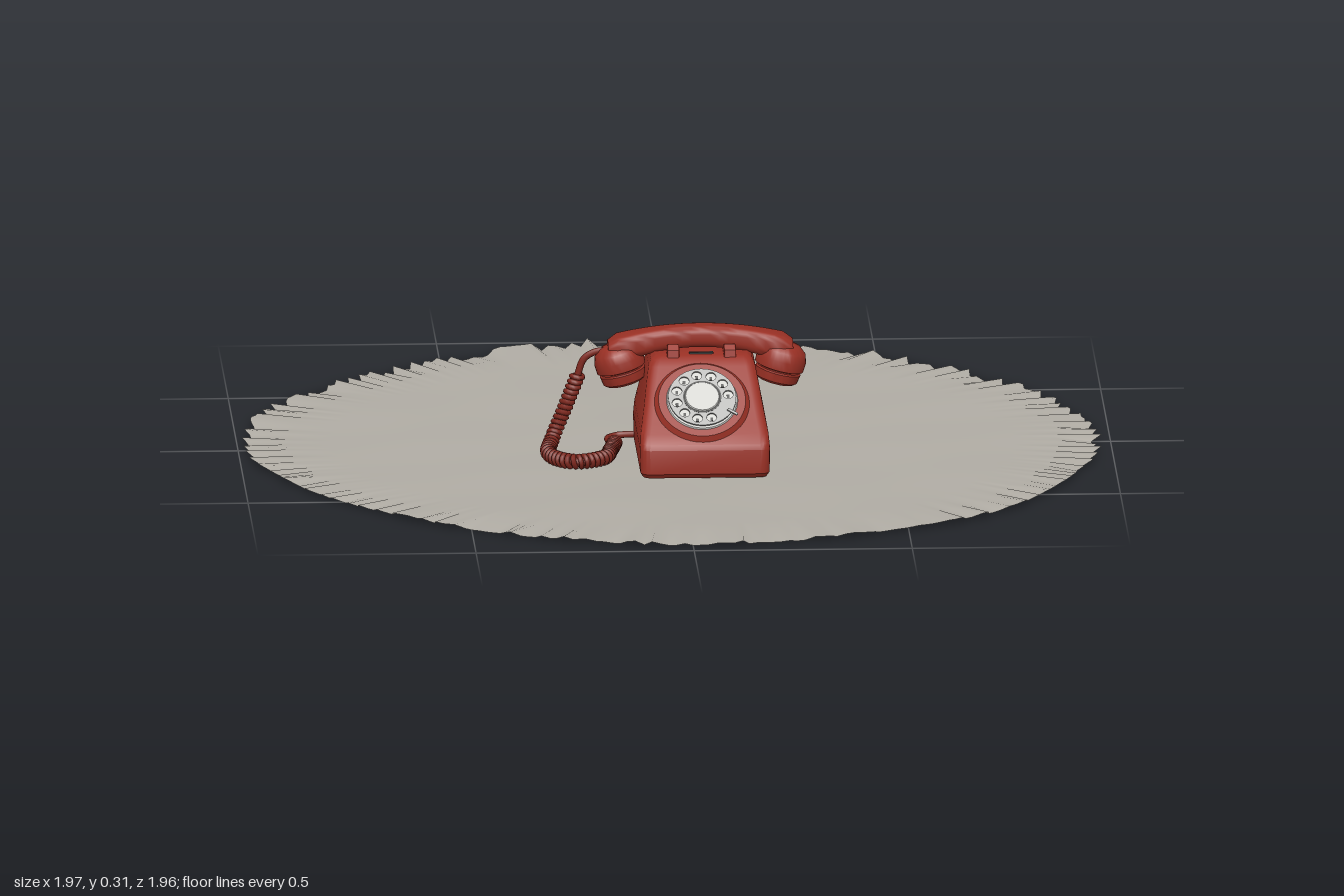
import * as THREE from 'three';
import { toCreasedNormals } from 'three/addons/utils/BufferGeometryUtils.js';

const mat = (name, color, side = THREE.FrontSide) => {
  const m = new THREE.MeshStandardMaterial({ color, side });
  m.name = name;
  return m;
};

// Rounded rectangle as [u, v] pairs
function section(hu, hv, r, n = 4) {
  const pts = [];
  [[1, 1], [-1, 1], [-1, -1], [1, -1]].forEach(([su, sv], k) => {
    for (let i = 0; i <= n; i++) {
      const a = (k + i / n) * Math.PI / 2;
      pts.push([su * (hu - r) + r * Math.cos(a), sv * (hv - r) + r * Math.sin(a)]);
    }
  });
  return pts;
}

// Closed skin through a stack of equal-sized rings
function loft(rings, crease) {
  const n = rings[0].length, pos = [], idx = [];
  rings.forEach(r => r.forEach(p => pos.push(...p)));
  for (let i = 0; i < rings.length - 1; i++) for (let j = 0; j < n; j++) {
    const a = i * n + j, b = i * n + (j + 1) % n;
    idx.push(a, a + n, b, b, a + n, b + n);
  }
  [0, rings.length - 1].forEach((k, end) => {
    const c = pos.length / 3;
    for (let q = 0; q < 3; q++) pos.push(rings[k].reduce((s, p) => s + p[q], 0) / n);
    for (let j = 0; j < n; j++) {
      const a = k * n + j, b = k * n + (j + 1) % n;
      idx.push(...(end ? [c, b, a] : [c, a, b]));
    }
  });
  const g = new THREE.BufferGeometry();
  g.setAttribute('position', new THREE.Float32BufferAttribute(pos, 3));
  g.setIndex(idx);
  g.computeVertexNormals();
  return toCreasedNormals(g, crease);
}

const curve = pts => new THREE.CatmullRomCurve3(pts.map(p => new THREE.Vector3(...p)));

export function createModel() {
  const root = new THREE.Group();
  const red = mat('red plastic', 0x993024);
  const darkRed = mat('dark red cord', 0x7d271d);
  const grey = mat('warm grey cloth', 0xb0aca4, THREE.DoubleSide);
  const silver = mat('silver', 0xb4b4b2);
  const pale = mat('pale grey', 0xcfcfcb);
  const dark = mat('dark grey', 0x454443);
  const add = (name, geo, m, parent = root) => {
    const mesh = new THREE.Mesh(geo, m);
    mesh.name = name;
    parent.add(mesh);
    return mesh;
  };
  const CX = 0.055; // centre line of the telephone

  // Ground sheet with a wavering, frayed rim
  const radii = [.97, .96, .98, .96, .96, .94, .93, .95, .98, .98, .95, .97, .985, .97, .95, .955];
  const N = 320;
  let seed = 7;
  const rand = () => (seed = (seed * 16807) % 2147483647) / 2147483647;
  const fray = Array.from({ length: N }, () => (rand() - 0.5) * 0.028);
  const sheet = new THREE.RingGeometry(0.004, 1, N, 10).rotateX(-Math.PI / 2);
  const sp = sheet.attributes.position;
  for (let i = 0; i < sp.count; i++) {
    const j = i % (N + 1) % N, a = j / N * Math.PI * 2;
    const rr = Math.hypot(sp.getX(i), sp.getZ(i));
    const f = (1 - j / N) * 16, k = Math.floor(f), e = (1 - Math.cos((f - k) * Math.PI)) / 2;
    const edge = radii[k % 16] * (1 - e) + radii[(k + 1) % 16] * e;
    const R = rr * edge + (rr > 0.99 ? fray[j] : 0);
    const x = Math.cos(a) * R, z = -Math.sin(a) * R;
    const wave = Math.sin(x * 9 + z * 5) * Math.sin(z * 13 - x * 4);
    const y = rr > 0.99 ? Math.max(0, 0.006 + fray[j] * 0.6) : 0.009 + 0.002 * wave;
    sp.setXYZ(i, x, y, z);
  }
  sheet.computeVertexNormals();
  add('groundSheet', sheet, grey);

  // Body: [y, half width, front z, back z, corner radius]
  const body = [
    [.012, .142, .354, -.026, .02], [.022, .148, .361, -.033, .022], [.078, .149, .362, -.033, .022],
    [.09, .148, .356, -.033, .022], [.11, .146, .335, -.03, .022], [.13, .142, .312, -.022, .022],
    [.16, .136, .279, -.005, .022], [.2, .129, .235, .01, .022], [.235, .122, .195, .018, .022],
    [.248, .116, .18, .023, .02], [.255, .106, .166, .032, .016],
  ].map(([y, hw, zf, zb, r]) =>
    section(hw, (zf - zb) / 2, r).map(([u, v]) => [CX + u, y, (zf + zb) / 2 + v]));
  add('body', loft(body, 0.5), red);

  // Cradle prongs, a saddle on each side of the top
  const saddle = new THREE.Shape([
    [.012, .2], [.016, .272], [.024, .281], [.04, .278], [.054, .256], [.126, .256],
    [.14, .272], [.156, .275], [.168, .266], [.18, .2],
  ].map(p => new THREE.Vector2(...p)));
  for (const s of [-1, 1]) {
    const g = new THREE.ExtrudeGeometry(saddle, {
      depth: 0.022, bevelEnabled: true, bevelSize: 0.003, bevelThickness: 0.003, bevelSegments: 2,
    });
    const m = add('cradleProng', g.translate(0, 0, -0.011).rotateY(-Math.PI / 2).scale(1, 1, 1), red);
    m.position.x = CX + s * 0.065;
  }
  add('cradleSlot', new THREE.BoxGeometry(0.055, 0.004, 0.012), dark).position.set(CX, 0.256, 0.148);

  // Handset: arched grip between two cups
  const handset = new THREE.Group();
  handset.name = 'handset';
  handset.position.set(CX, 0, 0.092);
  root.add(handset);
  const grip = [];
  for (let i = 0; i <= 20; i++) {
    const t = i / 10 - 1, q = t * t, end = Math.abs(t) === 1 ? 0.75 : 1;
    const hh = (0.025 + 0.008 * q) * end, hz = (0.031 + 0.013 * q) * end;
    grip.push(section(hz, hh, 0.018).map(([u, v]) => [0.212 * t, 0.285 - 0.038 * q + v, u]));
  }
  add('grip', loft(grip, 0.9), red, handset);
  const cup = [[0, 0], [.042, 0], [.05, .006], [.053, .026], [.049, .029], [.049, .032], [.057, .035],
    [.058, .056], [.052, .076], [.036, .09], [0, .096]].map(p => new THREE.Vector2(...p));
  for (const s of [-1, 1]) {
    const m = add(s < 0 ? 'earCup' : 'mouthCup',
      toCreasedNormals(new THREE.LatheGeometry(cup, 36), 0.6), red, handset);
    m.position.set(s * 0.172, 0.176, 0);
    m.rotation.z = -s * 0.26;
  }

  // Rotary dial on the sloping face
  const dial = new THREE.Group();
  dial.name = 'dial';
  dial.position.set(CX - 0.004, 0.169, 0.27);
  dial.rotation.x = 0.731;
  root.add(dial);
  const disc = (name, r1, r2, y, h, m) =>
    add(name, new THREE.CylinderGeometry(r1, r2, h, 48).translate(0, y + h / 2, 0), m, dial);
  disc('dialSurround', 0.1, 0.112, -0.004, 0.014, red);
  disc('numberPlate', 0.08, 0.083, 0.008, 0.006, pale);
  const wheel = new THREE.Shape().absarc(0, 0, 0.078, 0, Math.PI * 2);
  for (let i = 0; i < 10; i++) {
    const a = 0.1 + i * 0.55, x = Math.cos(a) * 0.06, y = Math.sin(a) * 0.06;
    wheel.holes.push(new THREE.Path().absarc(x, y, 0.0115, 0, Math.PI * 2, true));
    const n = add('numberMark', new THREE.BoxGeometry(0.006, 0.001, 0.009), dark, dial);
    n.position.set(x, 0.0145, -y);
  }
  const wheelGeo = new THREE.ExtrudeGeometry(wheel, { depth: 0.004, bevelEnabled: false, curveSegments: 20 });
  add('fingerWheel', wheelGeo.rotateX(-Math.PI / 2).translate(0, 0.019, 0), silver, dial);
  disc('wheelHub', 0.044, 0.044, 0.012, 0.0115, dark);
  disc('centreLabel', 0.038, 0.041, 0.022, 0.004, pale);
  const stop = add('fingerStop', new THREE.BoxGeometry(0.026, 0.004, 0.006), silver, dial);
  stop.position.set(0.068, 0.027, 0.045);
  stop.rotation.y = -0.6;

  // Coiled handset cord: a helix wound round a guide curve
  const guide = curve([[-.225, .195, .09], [-.25, .13, .092], [-.285, .05, .115], [-.295, .03, .18],
    [-.24, .028, .25], [-.172, .028, .215], [-.152, .028, .14], [-.14, .028, .07]]);
  const S = 560, TURNS = 44, frames = guide.computeFrenetFrames(S), helix = [];
  for (let i = 0; i <= S; i++) {
    const a = i / S * TURNS * Math.PI * 2;
    helix.push(guide.getPointAt(i / S)
      .addScaledVector(frames.normals[i], Math.cos(a) * 0.0125)
      .addScaledVector(frames.binormals[i], Math.sin(a) * 0.0125));
  }
  add('coiledCord', new THREE.TubeGeometry(new THREE.CatmullRomCurve3(helix), 700, 0.0062, 6), darkRed);
  add('coilCore', new THREE.TubeGeometry(guide, 60, 0.011, 8), darkRed);

  // Plain cords: to the handset, into the body, and the line loop behind
  const cord = (name, pts, r) => add(name, new THREE.TubeGeometry(curve(pts), 80, r, 8), darkRed);
  cord('handsetLead', [[-.13, .25, .09], [-.185, .247, .09], [-.212, .23, .09], [-.227, .19, .09]], 0.008);
  cord('bodyLead', [[-.141, .028, .075], [-.155, .028, .035], [-.135, .03, .012], [-.07, .035, .02]], 0.008);
  cord('lineCord', [[-.01, .055, 0], [-.012, .048, -.045], [-.018, .021, -.09], [-.026, .02, -.22], [-.008, .02, -.33],
    [.06, .02, -.385], [.14, .02, -.35], [.2, .02, -.25], [.19, .02, -.16], [.152, .022, -.08],
    [.145, .05, -.045], [.145, .055, 0]], 0.008);

  return root;
}
